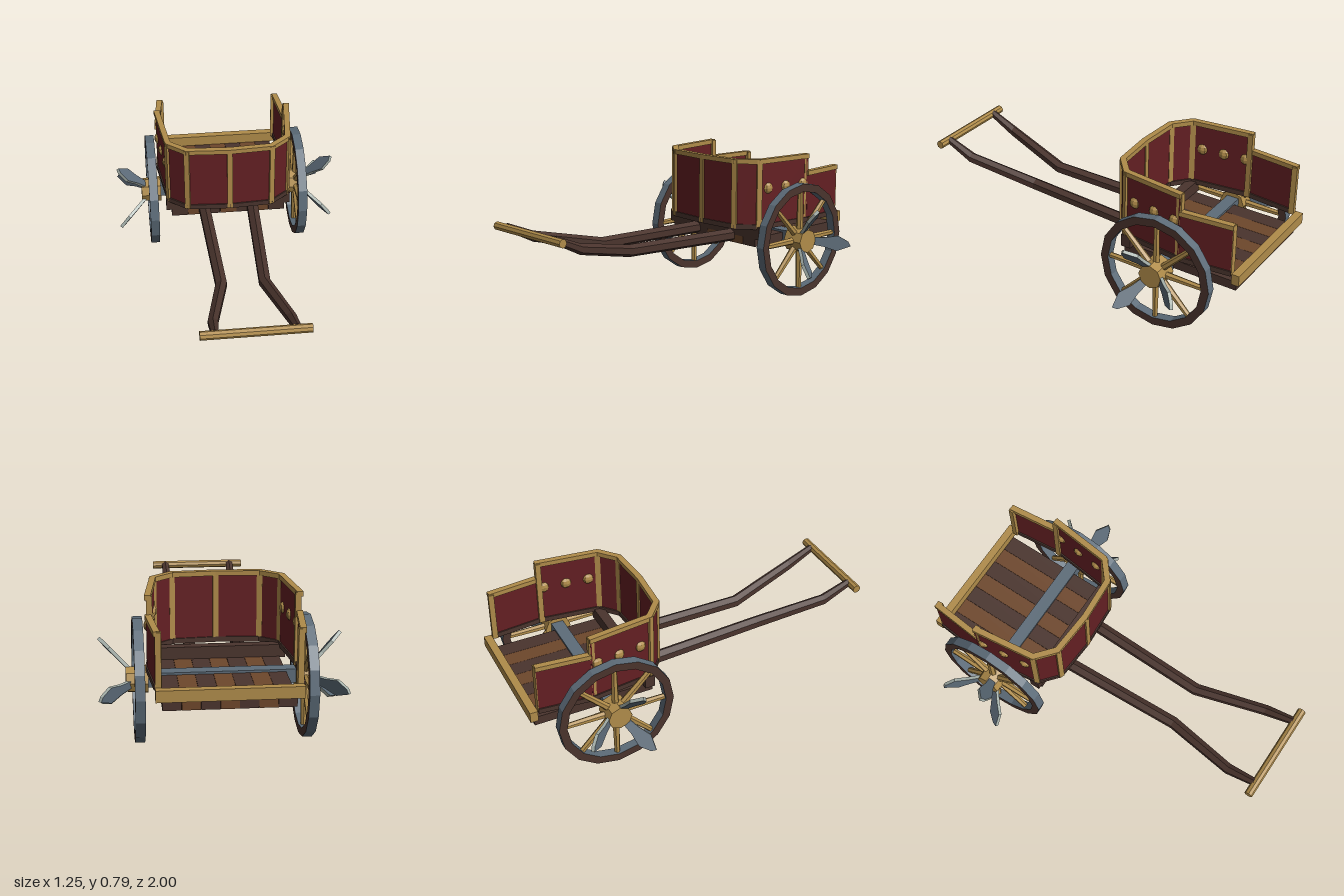
import * as THREE from 'three';

const paint = (name, color) => Object.assign(new THREE.MeshStandardMaterial({ color }), { name });

export function createModel() {
  const red = paint('red panel', 0x641f23);
  const gold = paint('gilded wood', 0xb08c4a);
  const dark = paint('dark wood', 0x4a342d);
  const brown = paint('brown wood', 0x6e472b);
  const steel = paint('blue steel', 0x5d6c79);
  const edge = paint('sharpened steel', 0xa5b0aa);

  const cart = new THREE.Group();
  cart.name = 'handcart';

  // Adds a mesh with faceted normals
  function add(parent, name, geometry, material) {
    const flat = geometry.index ? geometry.toNonIndexed() : geometry;
    flat.computeVertexNormals();
    const mesh = new THREE.Mesh(flat, material);
    mesh.name = name;
    parent.add(mesh);
    return mesh;
  }
  function box(parent, name, material, w, h, d, x, y, z) {
    const mesh = add(parent, name, new THREE.BoxGeometry(w, h, d), material);
    mesh.position.set(x, y, z);
    return mesh;
  }
  // Upright board running between two [x, z] points
  function board(name, material, a, b, y0, y1, thick, extra = 0) {
    const dx = b[0] - a[0], dz = b[1] - a[1];
    const mesh = box(cart, name, material, Math.hypot(dx, dz) + extra, y1 - y0, thick,
      (a[0] + b[0]) / 2, (y0 + y1) / 2, (a[1] + b[1]) / 2);
    mesh.rotation.y = Math.atan2(-dz, dx);
    return mesh;
  }

  // Floor of alternating planks
  for (let i = 0; i < 7; i++) {
    box(cart, 'floorPlank', i % 2 ? brown : dark, 0.092, 0.05, 0.66, (i - 3) * 0.093, 0.325, -0.64);
  }
  box(cart, 'frontCrossbeam', dark, 0.71, 0.07, 0.055, 0, 0.38, -0.335);
  box(cart, 'rearBoard', gold, 0.715, 0.06, 0.042, 0, 0.383, -0.979);
  box(cart, 'axle', steel, 0.78, 0.074, 0.07, 0, 0.325, -0.57);

  // Walls: front pair, angled corner, tall side and low rear side, mirrored
  const path = [[0, -0.225], [0.235, -0.24], [0.335, -0.325], [0.376, -0.67], [0.348, -0.95]];
  for (const s of [1, -1]) {
    const p = path.map(([x, z]) => [x * s, z]);
    for (let i = 0; i < 4; i++) {
      const top = i < 3 ? 0.79 : 0.692;
      board('wallPanel', red, p[i], p[i + 1], 0.415, top - 0.015, 0.016);
      board('topRail', gold, p[i], p[i + 1], top - 0.026, top, 0.032, 0.008);
      board('bottomRail', dark, p[i], p[i + 1], 0.4, 0.428, 0.03, 0.006);
    }
    // Posts at the bends and the open ends
    const posts = [[1, 0.79, 0], [2, 0.79, 0], [3, 0.79, 0.008], [4, 0.692, 0.008]];
    for (const [i, top, inset] of posts) {
      const post = box(cart, 'wallPost', gold, 0.03, top - 0.41, 0.03,
        p[i][0] - s * inset, (top + 0.4) / 2, p[i][1] + inset);
      post.rotation.y = s * [0, 0.35, 1.1, 0, -0.1][i];
    }
    // Round bosses through the tall side
    for (const z of [-0.385, -0.51, -0.635]) {
      const boss = add(cart, 'boss', new THREE.SphereGeometry(0.033, 8, 6), gold);
      boss.scale.x = 0.75;
      boss.position.set(s * (0.335 + (-0.325 - z) * 0.119), 0.625, z);
    }
  }
  box(cart, 'wallPost', gold, 0.03, 0.385, 0.03, 0, 0.597, -0.225);

  // Bent pull shafts, each a tube with its rings moved along the path
  const bend = [[0.2, 0.52, 0.965], [0.195, 0.45, 0.81], [0.115, 0.363, 0.42], [0.14, 0.338, -0.36]];
  const radii = [0.022, 0.03, 0.034, 0.036];
  for (const s of [1, -1]) {
    const g = new THREE.CylinderGeometry(1, 1, 3, 6, 3).rotateX(Math.PI / 2);
    const pos = g.attributes.position;
    for (let i = 0; i < pos.count; i++) {
      const k = Math.round(1.5 - pos.getZ(i));
      const [x, y, z] = bend[k];
      pos.setXYZ(i, s * x + pos.getX(i) * radii[k], y + pos.getY(i) * radii[k], z);
    }
    add(cart, 'pullShaft', g, dark);
  }
  const handle = add(cart, 'handle', new THREE.CylinderGeometry(0.023, 0.023, 0.55, 8), gold);
  handle.rotation.z = Math.PI / 2;
  handle.position.set(0, 0.518, 0.977);

  // Wheels with spokes, hub and three flared blades
  const ring = (r) => Array.from({ length: 16 }, (_, i) =>
    new THREE.Vector2(r * Math.cos(i * Math.PI / 8), r * Math.sin(i * Math.PI / 8)));
  const bladeOutline = [[0, -0.018], [0.09, -0.026], [0.165, -0.043], [0.24, -0.008],
    [0.225, 0.016], [0.165, 0.043], [0.09, 0.026], [0, 0.018]].map(([x, y]) => new THREE.Vector2(x, y));

  for (const s of [1, -1]) {
    const wheel = new THREE.Group();
    wheel.name = s > 0 ? 'leftWheel' : 'rightWheel';
    wheel.position.set(0, 0.32, -0.565);
    wheel.scale.x = s;
    cart.add(wheel);

    const rim = new THREE.Shape(ring(0.32));
    rim.holes.push(new THREE.Path(ring(0.276)));
    const rimGeometry = new THREE.ExtrudeGeometry(rim, { depth: 0.05, bevelEnabled: false })
      .rotateY(Math.PI / 2).translate(0.4, 0, 0);
    add(wheel, 'rim', rimGeometry, [dark, steel]);

    const hub = new THREE.CylinderGeometry(0.066, 0.074, 0.112, 8).rotateZ(-Math.PI / 2);
    add(wheel, 'hub', hub.translate(0.432, 0, 0), gold);

    for (let i = 0; i < 8; i++) {
      const spoke = add(wheel, 'spoke',
        new THREE.CylinderGeometry(0.015, 0.02, 0.24, 6).translate(0.425, 0.165, 0), gold);
      spoke.rotation.x = i * Math.PI / 4;
    }
    for (let i = 0; i < 3; i++) {
      const blade = new THREE.ExtrudeGeometry(new THREE.Shape(bladeOutline), { depth: 0.018, bevelEnabled: false })
        .translate(0, 0, -0.009).rotateX(Math.PI / 2).rotateZ(0.81).translate(0.455, 0.04, 0);
      add(wheel, 'blade', blade, [steel, edge]).rotation.x = 0.38 + i * Math.PI * 2 / 3;
    }
  }
  return cart;
}
